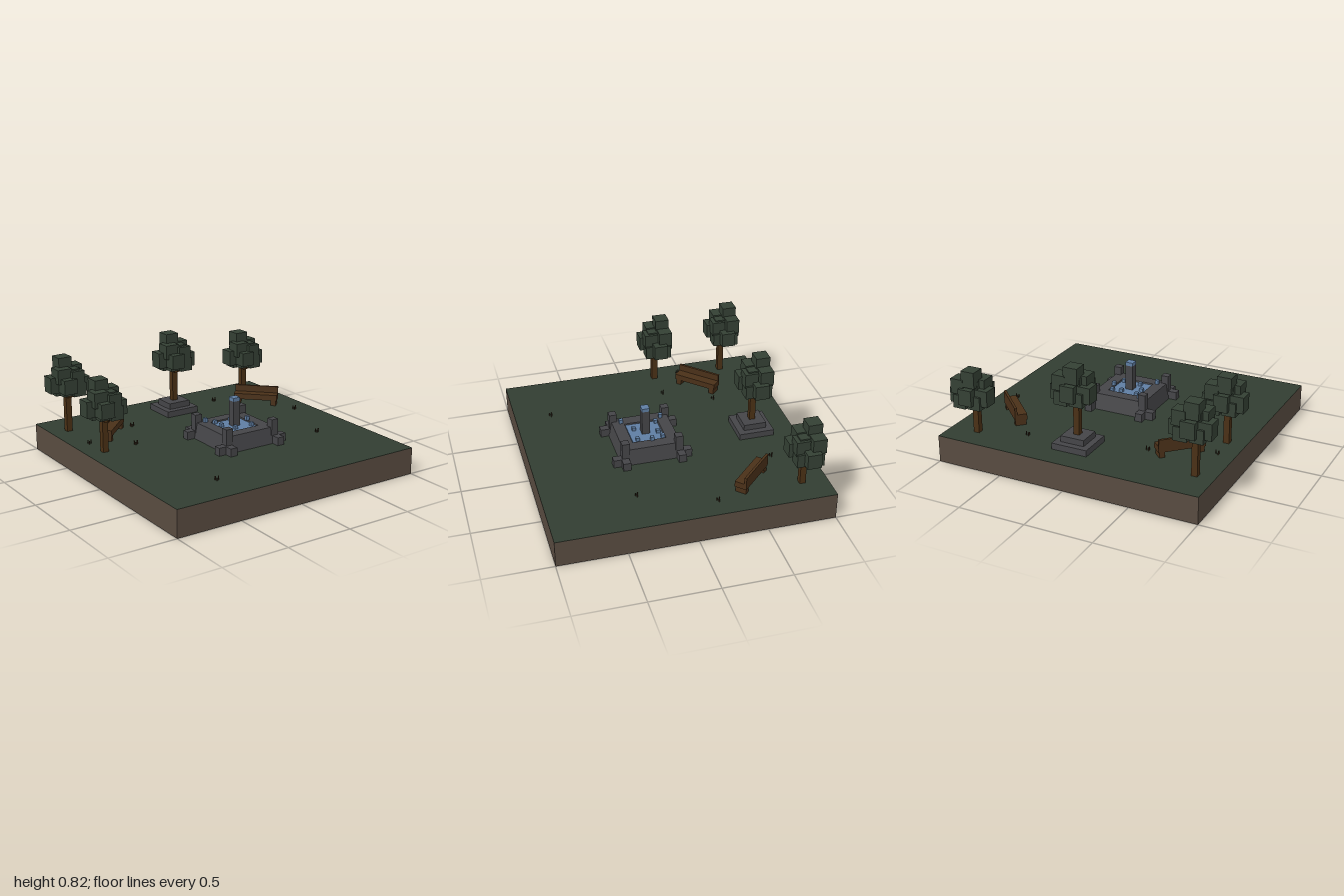
import * as THREE from 'three';

const mat = (color, extra = {}) => new THREE.MeshStandardMaterial({ color, ...extra });
const M = {
  soil: mat(0x584b40), grass: mat(0x313d31), leaf: mat(0x344034), bark: mat(0x4a3015),
  wood: mat(0x4a3018), stone: mat(0x454548), water: mat(0x5f7ea3), twig: mat(0x3a2a1c),
  rim: mat(0x454548, { flatShading: true }),
};
const GROUND = 0.2;

function group(name, parent, x = 0, y = 0, z = 0) {
  const g = new THREE.Group();
  g.name = name;
  g.position.set(x, y, z);
  parent.add(g);
  return g;
}

// Box centred at x, z and standing on y
function box(parent, name, material, w, h, d, x, y, z) {
  const m = new THREE.Mesh(new THREE.BoxGeometry(w, h, d), material);
  m.name = name;
  m.position.set(x, y + h / 2, z);
  parent.add(m);
  return m;
}

// Leaf blocks: x, bottom below the tree top, z, width, height, depth
const LEAVES = [
  [-0.005, -0.12, -0.055, 0.105, 0.12, 0.105],
  [-0.045, -0.18, 0.01, 0.11, 0.11, 0.11],
  [0.085, -0.18, -0.06, 0.1, 0.11, 0.1],
  [0.05, -0.2, 0.045, 0.1, 0.11, 0.1],
  [-0.088, -0.255, -0.03, 0.105, 0.12, 0.105],
  [0.12, -0.27, -0.015, 0.105, 0.11, 0.105],
  [-0.025, -0.25, 0.068, 0.105, 0.11, 0.105],
  [0.01, -0.25, -0.08, 0.105, 0.12, 0.105],
  [0.065, -0.285, 0.04, 0.1, 0.1, 0.1],
  [0.01, -0.28, -0.005, 0.14, 0.2, 0.14],
  [-0.04, -0.285, -0.05, 0.1, 0.1, 0.1],
  [0.075, -0.29, -0.055, 0.1, 0.1, 0.1],
];

function addTree(parent, x, z, top) {
  const tree = group('tree', parent, x, 0, z);
  box(tree, 'trunk', M.bark, 0.044, top - 0.2 - GROUND, 0.044, 0, GROUND, 0);
  box(tree, 'branch', M.bark, 0.1, 0.03, 0.03, 0.05, top - 0.305, 0.005);
  box(tree, 'branch', M.bark, 0.03, 0.03, 0.085, 0, top - 0.3, 0);
  for (const [lx, ly, lz, w, h, d] of LEAVES) {
    box(tree, 'leafBlock', M.leaf, w, h, d, lx, top + ly, lz);
  }
}

function addBench(parent, x, z, turn) {
  const bench = group('bench', parent, x, GROUND, z);
  bench.rotation.y = turn;
  box(bench, 'seat', M.wood, 0.345, 0.045, 0.09, 0, 0.042, 0);
  box(bench, 'backrest', M.wood, 0.345, 0.055, 0.018, 0, 0.083, -0.036);
  for (const s of [-1, 1]) box(bench, 'leg', M.wood, 0.04, 0.045, 0.08, s * 0.145, 0, 0);
}

function addFountain(parent) {
  const f = group('fountain', parent, 0.048, GROUND, 0.133);
  // Square basin with sloping outer walls
  const profile = [[0.232, 0], [0.212, 0.12], [0.125, 0.12], [0.117, 0.09]]
    .map(([r, y]) => new THREE.Vector2(r * Math.SQRT2, y));
  const basin = new THREE.Mesh(new THREE.LatheGeometry(profile, 4, Math.PI / 4), M.rim);
  basin.name = 'basin';
  f.add(basin);
  box(f, 'water', M.water, 0.238, 0.012, 0.238, 0, 0.1, 0);
  box(f, 'pillar', M.stone, 0.058, 0.3, 0.058, 0, 0, 0);
  box(f, 'spout', M.water, 0.058, 0.026, 0.058, 0, 0.3, 0);
  // Corner posts, each with a foot block on two sides
  for (const sx of [-1, 1]) for (const sz of [-1, 1]) {
    box(f, 'cornerPost', M.stone, 0.056, 0.18, 0.056, sx * 0.199, 0, sz * 0.199);
    box(f, 'footBlock', M.stone, 0.09, 0.06, 0.056, sx * 0.247, 0, sz * 0.206);
    box(f, 'footBlock', M.stone, 0.056, 0.06, 0.09, sx * 0.206, 0, sz * 0.247);
  }
  // Splashes in the pool and on the rim
  const splashes = [[-0.15, -0.155], [-0.1, -0.106], [0.031, -0.09], [0.1, -0.106], [-0.1, -0.021],
    [0.128, -0.021], [-0.043, 0.075], [0.096, 0.081], [-0.15, 0.145]];
  for (const [x, z] of splashes) {
    const onRim = Math.abs(x) > 0.117;
    box(f, 'splash', M.water, 0.027, 0.03, 0.027, x, onRim ? 0.12 : 0.108, z);
  }
}

export function createModel() {
  const park = new THREE.Group();
  park.name = 'park';

  // Ground slab
  box(park, 'soil', M.soil, 2, 0.198, 2, 0, 0, 0);
  box(park, 'lawn', M.grass, 2, 0.002, 2, 0, 0.198, 0);

  addFountain(park);

  // Stepped planter under the rear tree
  const planter = group('planter', park, 0.045, GROUND, -0.69);
  box(planter, 'lowerStep', M.stone, 0.272, 0.046, 0.266, 0, 0, 0);
  box(planter, 'upperStep', M.stone, 0.18, 0.045, 0.17, 0, 0.046, 0);

  for (const t of [[0.045, -0.69, 0.82], [-0.86, -0.73, 0.765], [-0.86, -0.18, 0.73], [0.79, -0.81, 0.695]]) {
    addTree(park, ...t);
  }

  addBench(park, -0.632, -0.472, Math.PI / 4);
  addBench(park, 0.685, -0.472, -Math.PI / 4);

  // Small tufts of three blades
  const tufts = [[0.44, -0.71], [-0.42, -0.54], [-0.87, -0.38], [-0.6, -0.18], [0.85, -0.18], [0.65, 0.35], [-0.51, 0.73]];
  for (const [x, z] of tufts) {
    const tuft = group('tuft', park, x, GROUND, z);
    for (const [bx, bz, h] of [[-0.01, -0.008, 0.027], [0.01, 0, 0.03], [-0.008, 0.009, 0.022]]) {
      box(tuft, 'blade', M.twig, 0.006, h, 0.006, bx, 0, bz);
    }
  }
  return park;
}
